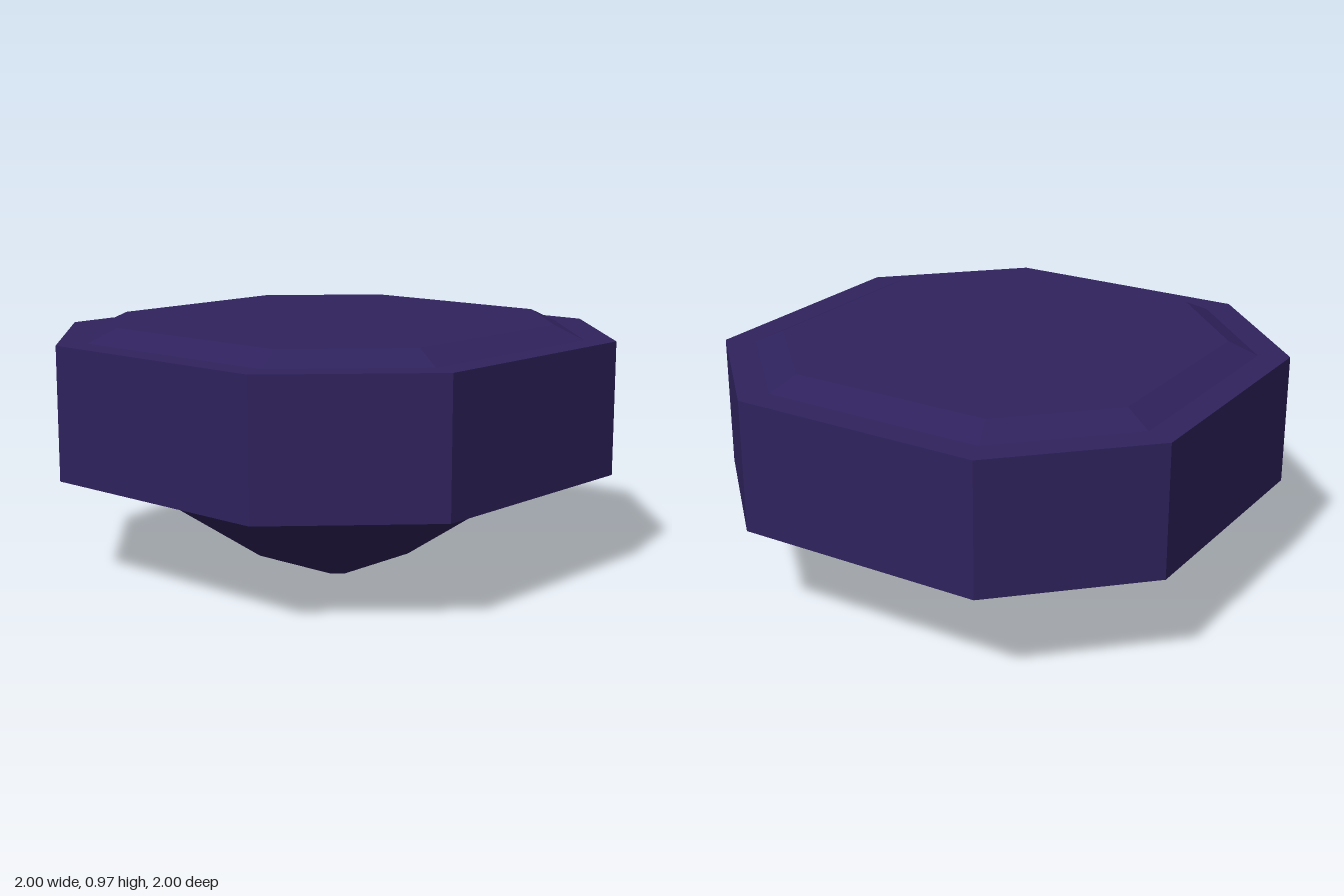
import * as THREE from 'three';

// Ring of eight points: flat sides at +-half, corners at +-corner, at height y
function octagon(y, half, corner) {
  const h = half, c = corner;
  return [[h, -c], [h, c], [c, h], [-c, h], [-h, c], [-h, -c], [-c, -h], [c, -h]]
    .map(([x, z]) => new THREE.Vector3(x, y, z));
}

// Faceted skin through rings listed from bottom to top, with optional end caps
function loft(rings, capBottom, capTop) {
  const points = [];
  for (let r = 0; r < rings.length - 1; r++) {
    const low = rings[r], high = rings[r + 1];
    for (let i = 0; i < 8; i++) {
      const j = (i + 1) % 8;
      points.push(low[i], high[i], high[j], low[i], high[j], low[j]);
    }
  }
  const bottom = rings[0], top = rings[rings.length - 1];
  for (let i = 1; i < 7; i++) {
    if (capBottom) points.push(bottom[0], bottom[i], bottom[i + 1]);
    if (capTop) points.push(top[0], top[i + 1], top[i]);
  }
  const geometry = new THREE.BufferGeometry().setFromPoints(points);
  geometry.computeVertexNormals();
  return geometry;
}

export function createModel() {
  const indigo = new THREE.MeshStandardMaterial({ color: 0x2f225d, flatShading: true });
  indigo.name = 'deep indigo';

  const group = new THREE.Group();
  group.name = 'cutGem';
  const add = (name, geometry) => {
    const mesh = new THREE.Mesh(geometry, indigo);
    mesh.name = name;
    group.add(mesh);
  };

  // Rings where the parts meet
  const underside = octagon(0.395, 0.785, 0.415);
  const shoulder = octagon(0.92, 0.885, 0.46);

  // Tapering lower part with a small flat tip
  add('pavilion', loft([octagon(0, 0.235, 0.195), underside], true, false));

  // Thick band with flat ledges below and above
  add('girdle', loft([underside, octagon(0.395, 1, 0.51), octagon(0.92, 1, 0.51), shoulder], false, false));

  // Low bevelled table on top
  add('crown', loft([shoulder, octagon(0.973, 0.778, 0.415)], false, true));

  return group;
}
